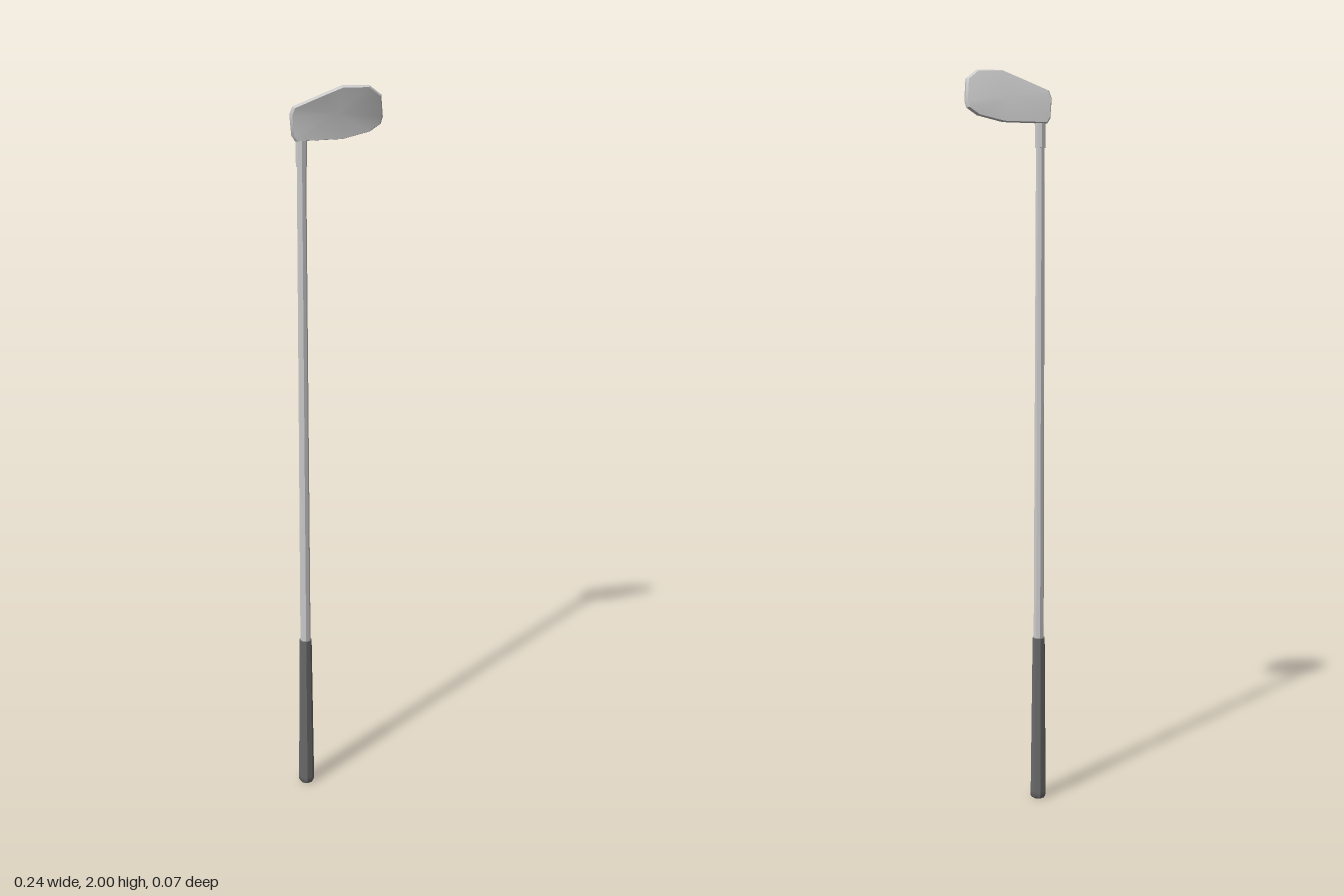
import * as THREE from 'three';
import { toCreasedNormals } from 'three/addons/utils/BufferGeometryUtils.js';

const metal = new THREE.MeshStandardMaterial({ color: 0xcccccc });
const rubber = new THREE.MeshStandardMaterial({ color: 0x6a6a6a });
const SHAFT_X = -0.09;
const SHAFT_Z = -0.004;

// Eight-sided turned part from [radius, height] pairs, bottom to top
function turned(name, profile, material) {
  const points = profile.map(([r, y]) => new THREE.Vector2(r, y));
  const geometry = toCreasedNormals(new THREE.LatheGeometry(points, 8), 0.6);
  const mesh = new THREE.Mesh(geometry, material);
  mesh.name = name;
  mesh.position.set(SHAFT_X, 0, SHAFT_Z);
  return mesh;
}

// Leaning blade: front, middle and back rings closed by shallow fans
function clubHead() {
  // x, y, front z, back z, counter-clockwise as seen from the front
  const outline = [
    [-0.106, 1.863, 0.012, -0.025],
    [0.015, 1.865, 0.002, -0.03],
    [0.085, 1.881, -0.007, -0.034],
    [0.113, 1.9, -0.006, -0.035],
    [0.117, 1.918, 0, -0.031],
    [0.109, 1.975, 0.021, -0.012],
    [0.078, 1.999, 0.031, 0],
    [0.012, 1.999, 0.028, -0.004],
    [-0.04, 1.978, 0.023, -0.009],
    [-0.112, 1.948, 0.017, -0.016],
    [-0.119, 1.928, 0.014, -0.02],
    [-0.114, 1.876, 0.012, -0.025],
  ];
  const n = outline.length;
  const cx = 0, cy = 1.93;
  const positions = [];
  const addRing = (inset, depth) => {
    for (const [x, y, zf, zb] of outline) {
      positions.push(cx + (x - cx) * inset, cy + (y - cy) * inset, THREE.MathUtils.lerp(zf, zb, depth));
    }
  };
  addRing(0.96, 0);
  addRing(1, 0.35);
  addRing(1, 0.7);
  addRing(0.96, 1);
  positions.push(cx, cy, 0.009, cx, cy, -0.021);

  const index = [];
  for (let i = 0; i < n; i++) {
    const j = (i + 1) % n;
    for (let ring = 0; ring < 3; ring++) {
      const a = ring * n, b = a + n;
      index.push(a + i, b + i, b + j, a + i, b + j, a + j);
    }
    index.push(4 * n, i, j);
    index.push(4 * n + 1, 3 * n + j, 3 * n + i);
  }
  const geometry = new THREE.BufferGeometry();
  geometry.setAttribute('position', new THREE.Float32BufferAttribute(positions, 3));
  geometry.setIndex(index);
  const mesh = new THREE.Mesh(toCreasedNormals(geometry, 0.7), metal);
  mesh.name = 'clubHead';
  return mesh;
}

export function createModel() {
  const model = new THREE.Group();
  model.name = 'golfClub';
  model.add(
    // Tapered grip with a rounded butt
    turned('grip', [[0, 0], [0.018, 0], [0.022, 0.006], [0.022, 0.02], [0.0175, 0.465], [0, 0.465]], rubber),
    turned('shaft', [[0.0145, 0.46], [0.012, 1.81]], metal),
    // Collar joining shaft and head
    turned('hosel', [[0, 1.8], [0.0145, 1.8], [0.0145, 1.885], [0, 1.885]], metal),
    clubHead(),
  );
  return model;
}
